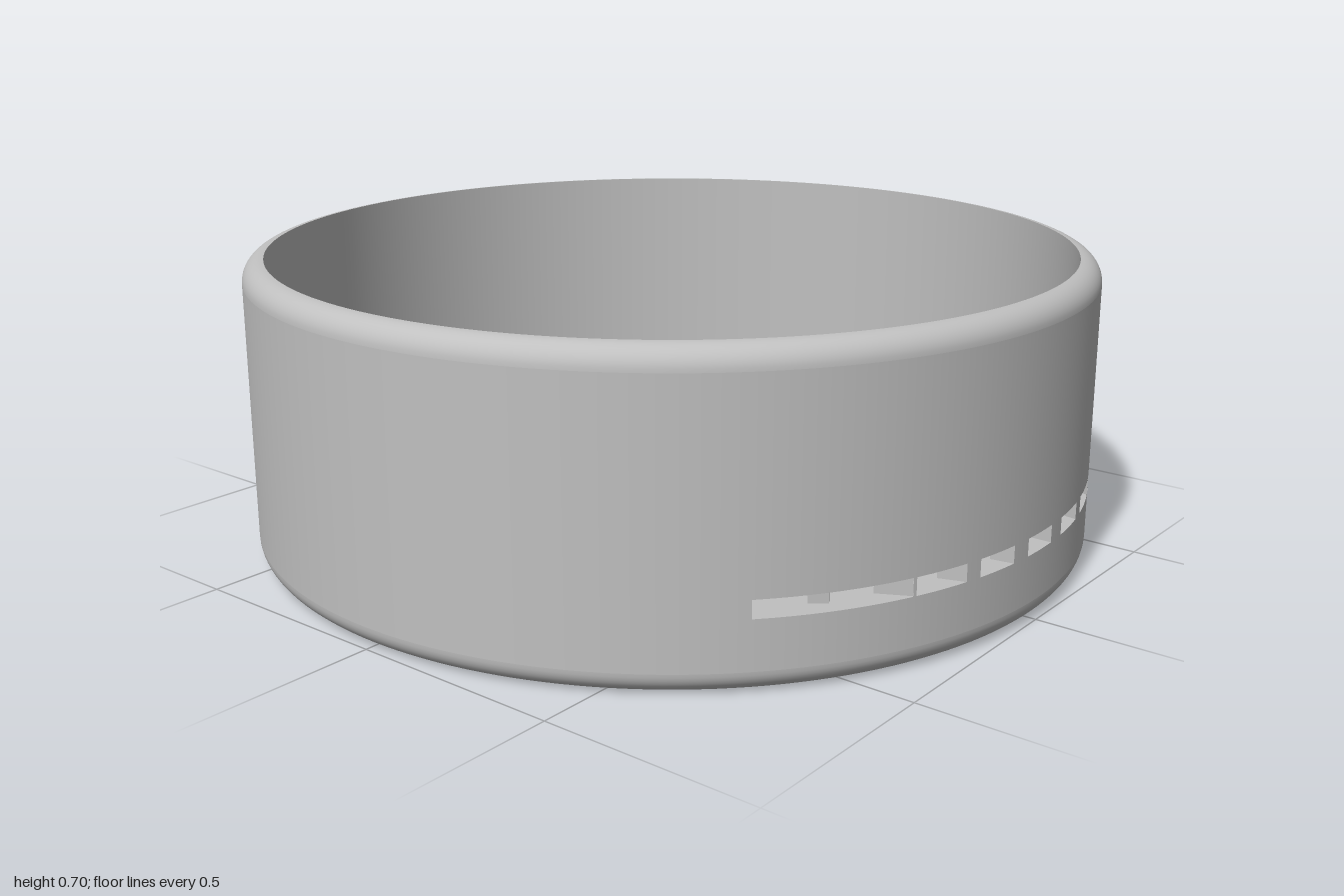
import * as THREE from 'three';

const OUTER = 1, INNER = 0.95, HEIGHT = 0.7, FLOOR = 0.05, FILLET = 0.05;
const SLOT_LOW = 0.16, SLOT_HIGH = 0.2;
const DEG = Math.PI / 180, STEP = 2 * DEG, SECTOR = 44 * DEG;

// Nine slanted slots, each given as four half-planes (nx, nz, c) with inside n.p <= c
const slots = [];
for (let i = -4; i <= 4; i++) {
  const a = i * 9.375 * DEG, s = Math.sin(a), c = Math.cos(a), r = 0.992;
  const centre = [r * s, r * c];
  const plane = (nx, nz, half) => [nx, nz, nx * centre[0] + nz * centre[1] + half];
  slots.push([
    plane(c, s, 0.0525), plane(-c, -s, 0.0525),
    plane(-s, c, 0.08), plane(s, -c, 0.08),
  ]);
}

const side = ([nx, nz, c], p) => nx * p[0] + nz * p[1] - c;
const inSlot = (p) => slots.some((planes) => planes.every((pl) => side(pl, p) < 0));

// Keep the part of a convex polygon on the inner side of a plane
function clip(poly, plane) {
  const out = [];
  poly.forEach((p, i) => {
    const q = poly[(i + 1) % poly.length];
    const a = side(plane, p), b = side(plane, q);
    if (a <= 0) out.push(p);
    if ((a < 0 && b > 0) || (a > 0 && b < 0)) {
      const t = a / (a - b);
      out.push([p[0] + (q[0] - p[0]) * t, p[1] + (q[1] - p[1]) * t]);
    }
  });
  return out;
}

// Cut a slot out of a convex polygon, giving convex pieces
function subtract(poly, planes) {
  const pieces = [];
  for (const plane of planes) {
    const rest = clip(poly, plane.map((v) => -v));
    if (rest.length > 2) pieces.push(rest);
    poly = clip(poly, plane);
    if (poly.length < 3) break;
  }
  return pieces;
}

// Upright faces of the slotted band: outer wall, inner wall and slot sides
function slottedBand() {
  const position = [], normal = [];
  const polar = (r, a) => [r * Math.sin(a), r * Math.cos(a)];
  const addWall = (p, q) => {
    const dx = q[0] - p[0], dz = q[1] - p[1], len = Math.hypot(dx, dz);
    if (len < 1e-5) return;
    const n = [-dz / len, dx / len];
    const probe = [(p[0] + q[0]) / 2 + n[0] * 0.0005, (p[1] + q[1]) / 2 + n[1] * 0.0005];
    const r = Math.hypot(...probe), curved = r > OUTER || r < INNER;
    if (!curved && !inSlot(probe)) return;
    const sign = r > OUTER ? 1 : -1;
    const corner = (v, y) => {
      const l = Math.hypot(...v) * sign;
      position.push(v[0], y, v[1]);
      if (curved) normal.push(v[0] / l, 0, v[1] / l);
      else normal.push(n[0], 0, n[1]);
    };
    corner(p, SLOT_LOW); corner(q, SLOT_LOW); corner(q, SLOT_HIGH);
    corner(p, SLOT_LOW); corner(q, SLOT_HIGH); corner(p, SLOT_HIGH);
  };
  for (let k = 0; k < Math.round(2 * SECTOR / STEP); k++) {
    const a = -SECTOR + k * STEP, b = a + STEP;
    let pieces = [[polar(INNER, a), polar(OUTER, a), polar(OUTER, b), polar(INNER, b)]];
    for (const planes of slots) pieces = pieces.flatMap((poly) => subtract(poly, planes));
    for (const poly of pieces) {
      poly.forEach((p, i) => {
        const q = poly[(i + 1) % poly.length], parts = 8;
        const at = (t) => [p[0] + (q[0] - p[0]) * t, p[1] + (q[1] - p[1]) * t];
        for (let j = 0; j < parts; j++) addWall(at(j / parts), at((j + 1) / parts));
      });
    }
  }
  const geometry = new THREE.BufferGeometry();
  geometry.setAttribute('position', new THREE.Float32BufferAttribute(position, 3));
  geometry.setAttribute('normal', new THREE.Float32BufferAttribute(normal, 3));
  return geometry;
}

export function createModel() {
  const group = new THREE.Group();
  const grey = new THREE.MeshStandardMaterial({ color: 0xc0c0c0 });
  grey.name = 'grey';
  const add = (name, geometry) => {
    const mesh = new THREE.Mesh(geometry, grey);
    mesh.name = name;
    group.add(mesh);
  };
  const turn = (name, points, start = 0, length = 2 * Math.PI) => add(name,
    new THREE.LatheGeometry(points.map(([x, y]) => new THREE.Vector2(x, y)),
      Math.round(length / STEP), start, length));
  const arc = (y, from) => Array.from({ length: 11 }, (_, i) => {
    const a = (from + i * 9) * DEG;
    return [OUTER - FILLET + FILLET * Math.cos(a), y + FILLET * Math.sin(a)];
  });

  // Base, outer wall and rounded edges
  turn('underside', [[0, 0], [OUTER - FILLET, 0]]);
  turn('bottomEdge', arc(FILLET, -90));
  turn('lowerOuterWall', [[OUTER, FILLET], [OUTER, SLOT_LOW]]);
  turn('upperOuterWall', [[OUTER, SLOT_HIGH], [OUTER, HEIGHT - FILLET]]);
  turn('rim', arc(HEIGHT - FILLET, 0));

  // Inner wall and floor
  turn('upperInnerWall', [[INNER, HEIGHT], [INNER, SLOT_HIGH]]);
  turn('lowerInnerWall', [[INNER, SLOT_LOW], [INNER, FLOOR]]);
  turn('floor', [[INNER, FLOOR], [0, FLOOR]]);

  // Plain part of the band at slot height
  const rest = 2 * Math.PI - 2 * SECTOR;
  turn('plainOuterBand', [[OUTER, SLOT_LOW], [OUTER, SLOT_HIGH]], SECTOR, rest);
  turn('plainInnerBand', [[INNER, SLOT_HIGH], [INNER, SLOT_LOW]], SECTOR, rest);

  // Slotted front part, with the slots' sills and ceilings
  add('slottedBand', slottedBand());
  turn('slotSills', [[OUTER, SLOT_LOW], [INNER, SLOT_LOW]], -SECTOR, 2 * SECTOR);
  turn('slotCeilings', [[INNER, SLOT_HIGH], [OUTER, SLOT_HIGH]], -SECTOR, 2 * SECTOR);
  return group;
}
